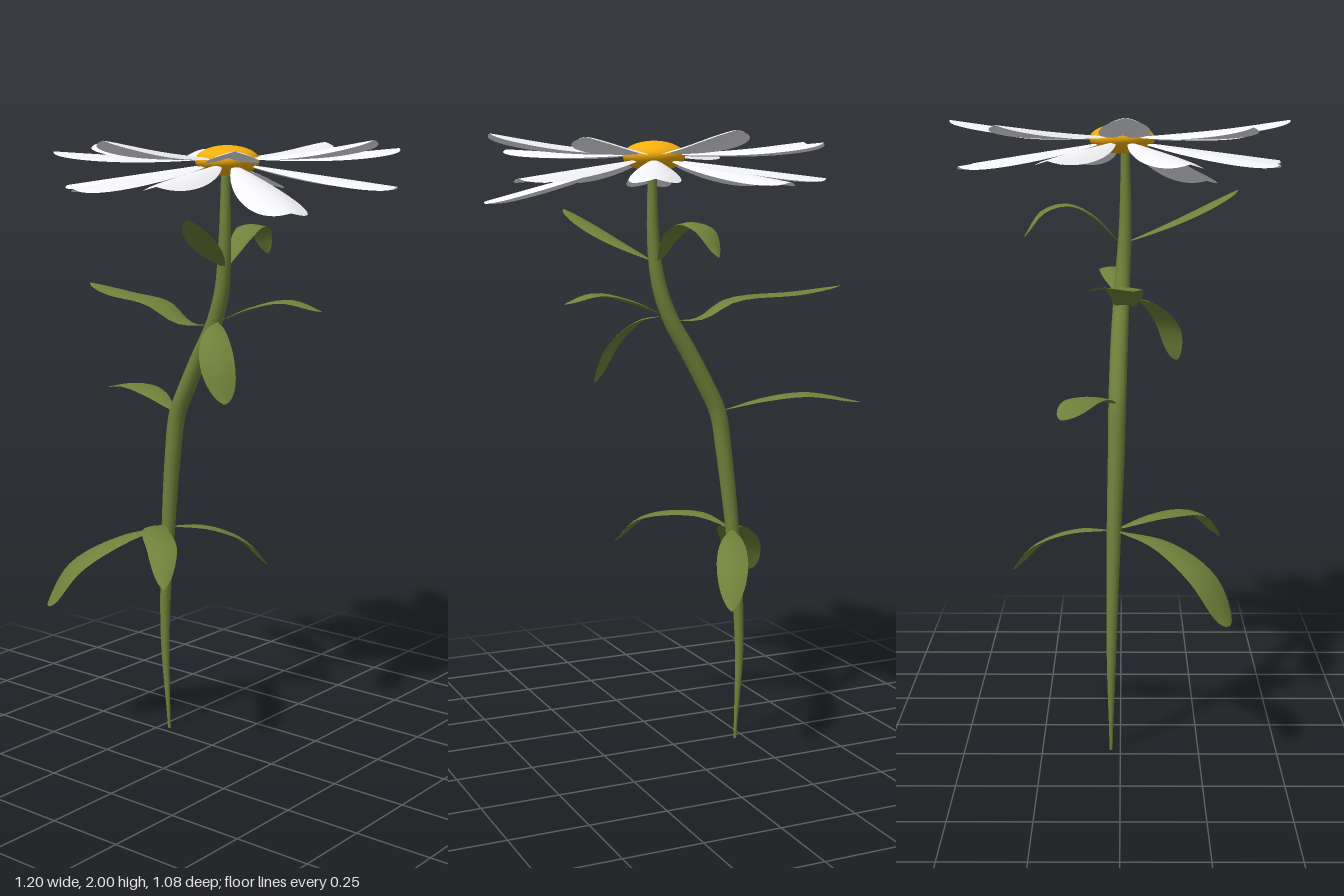
import * as THREE from 'three';

const V = (p) => new THREE.Vector3(...p);
const green = new THREE.MeshStandardMaterial({ color: 0x6f813a, side: THREE.DoubleSide });
const white = new THREE.MeshStandardMaterial({ color: 0xf2f1f6, side: THREE.DoubleSide });
const yellow = new THREE.MeshStandardMaterial({ color: 0xf4ae0c });

// Thin curved blade along a path: width follows t^a * (1-t)^b, camber lifts the midline
function blade(name, points, halfWidth, a, b, camber, material) {
  const curve = new THREE.CatmullRomCurve3(points.map(V));
  const run = V(points.at(-1)).sub(V(points[0]));
  const side = new THREE.Vector3(0, 1, 0).cross(run).normalize();
  const peakT = a / (a + b);
  const peak = peakT ** a * (1 - peakT) ** b;
  const rows = 22, cols = 6, pos = [], index = [];
  for (let i = 0; i <= rows; i++) {
    const t = (1 - Math.cos((Math.PI * i) / rows)) / 2;
    const w = Math.max(0.004, (halfWidth * t ** a * (1 - t) ** b) / peak);
    const c = curve.getPointAt(t);
    const tangent = curve.getTangentAt(t);
    const up = tangent.clone().cross(side).normalize();
    for (let j = 0; j <= cols; j++) {
      const u = (2 * j) / cols - 1;
      const lift = -camber * u * u * (w / halfWidth);
      pos.push(...c.clone().addScaledVector(side, u * w).addScaledVector(up, lift).toArray());
      if (i < rows && j < cols) {
        const k = i * (cols + 1) + j, n = k + cols + 1;
        index.push(k, n, k + 1, k + 1, n, n + 1);
      }
    }
  }
  const geo = new THREE.BufferGeometry();
  geo.setAttribute('position', new THREE.Float32BufferAttribute(pos, 3));
  geo.setIndex(index);
  geo.computeVertexNormals();
  const mesh = new THREE.Mesh(geo, material);
  mesh.name = name;
  return mesh;
}

// Tapered round stem: a unit tube pulled in to a varying radius
function makeStem() {
  const curve = new THREE.CatmullRomCurve3([
    [-0.215, 0.005, -0.03], [-0.23, 0.35, -0.028], [-0.205, 0.73, -0.02], [-0.175, 1.0, -0.012],
    [-0.155, 1.12, -0.01], [-0.107, 1.22, -0.007], [-0.05, 1.325, -0.003], [0.005, 1.42, 0.002],
    [0.045, 1.53, 0.008], [0.062, 1.66, 0.015], [0.067, 1.93, 0.015],
  ].map(V));
  const radii = new THREE.SplineCurve([
    [0, 0.005], [0.05, 0.014], [0.25, 0.02], [0.55, 0.025], [0.6, 0.028], [0.75, 0.027],
    [0.86, 0.021], [1, 0.014],
  ].map((p) => new THREE.Vector2(...p)));
  const rows = 60, sides = 14;
  const geo = new THREE.TubeGeometry(curve, rows, 0.02, sides);
  const pos = geo.attributes.position, p = new THREE.Vector3();
  for (let i = 0; i <= rows; i++) {
    const c = curve.getPointAt(i / rows), r = radii.getPoint(i / rows).y;
    for (let j = 0; j <= sides; j++) {
      const k = i * (sides + 1) + j;
      p.fromBufferAttribute(pos, k).sub(c).multiplyScalar(r / 0.02).add(c);
      pos.setXYZ(k, p.x, p.y, p.z);
    }
  }
  const mesh = new THREE.Mesh(geo, green);
  mesh.name = 'stem';
  return mesh;
}

export function createModel() {
  const model = new THREE.Group();
  model.name = 'daisy';
  model.add(makeStem());

  // Flower centre
  const disc = new THREE.Mesh(new THREE.SphereGeometry(1, 36, 20), yellow);
  disc.name = 'flowerCentre';
  disc.scale.set(0.097, 0.047, 0.104);
  disc.position.set(0.065, 1.94, 0.005);
  model.add(disc);

  // Petal tips clockwise from the back: raised and drooping ones alternate
  const petals = new THREE.Group();
  petals.name = 'petals';
  const tips = [
    [0.05, 1.998, -0.54], [0.28, 1.862, -0.49], [0.445, 1.978, -0.38], [0.572, 1.865, -0.17],
    [0.6, 2, 0.005], [0.525, 1.8, 0.3], [0.412, 1.968, 0.41], [0.222, 1.872, 0.52],
    [0.04, 1.998, 0.535], [-0.125, 1.86, 0.49], [-0.305, 1.968, 0.39], [-0.435, 1.862, 0.2],
    [-0.475, 1.992, 0.015], [-0.43, 1.872, -0.21], [-0.33, 1.975, -0.365], [-0.145, 1.855, -0.495],
  ];
  tips.forEach(([x, y, z], i) => {
    const raised = i % 2 === 0;
    const at = (f, h) => [0.065 + (x - 0.065) * f, h, 0.005 + (z - 0.005) * f];
    const y0 = raised ? 1.945 : 1.93;
    const mid = y0 + (y - y0) * (raised ? 0.45 : 0.55);
    petals.add(blade('petal', [at(0.1, y0), at(0.6, mid), at(1, y)],
      i === 5 ? 0.086 : 0.076, 0.85, 0.36, 0.021, white));
  });
  model.add(petals);

  // Leaves: path, half width, and tip bluntness
  const leaves = new THREE.Group();
  leaves.name = 'leaves';
  [
    // lower whorl
    [[[-0.205, 0.73, -0.02], [-0.28, 0.705, 0.13], [-0.38, 0.62, 0.26], [-0.435, 0.49, 0.33]], 0.07, 0.45],
    [[[-0.205, 0.73, -0.02], [-0.14, 0.765, 0.12], [0, 0.74, 0.25], [0.075, 0.64, 0.33]], 0.05, 0.7],
    [[[-0.205, 0.73, -0.02], [-0.14, 0.715, -0.15], [-0.08, 0.655, -0.27], [-0.035, 0.55, -0.355]], 0.05, 0.7],
    // middle leaf
    [[[-0.165, 1.125, -0.01], [-0.3, 1.168, -0.07], [-0.43, 1.183, -0.115], [-0.6, 1.15, -0.165]], 0.056, 0.7],
    // upper whorl
    [[[0.01, 1.425, 0], [-0.1, 1.43, 0.015], [-0.21, 1.488, 0.015], [-0.42, 1.507, -0.028], [-0.58, 1.525, -0.055]], 0.066, 0.7],
    [[[0.03, 1.44, 0], [0.15, 1.492, -0.015], [0.28, 1.52, -0.03], [0.39, 1.49, -0.05]], 0.045, 0.7],
    [[[0.03, 1.44, 0.01], [0.085, 1.42, 0.09], [0.15, 1.34, 0.16], [0.2, 1.215, 0.185]], 0.054, 0.6],
    // topmost pair
    [[[0.06, 1.61, 0.01], [0.135, 1.68, 0.18], [0.225, 1.775, 0.385]], 0.045, 0.6],
    [[[0.055, 1.6, 0.01], [0.045, 1.703, -0.09], [0.025, 1.738, -0.17], [0.005, 1.715, -0.25], [-0.01, 1.635, -0.305]], 0.045, 0.7],
  ].forEach(([path, w, b]) => leaves.add(blade('leaf', path, w, 1.0, b, 0.008, green)));
  model.add(leaves);

  return model;
}
